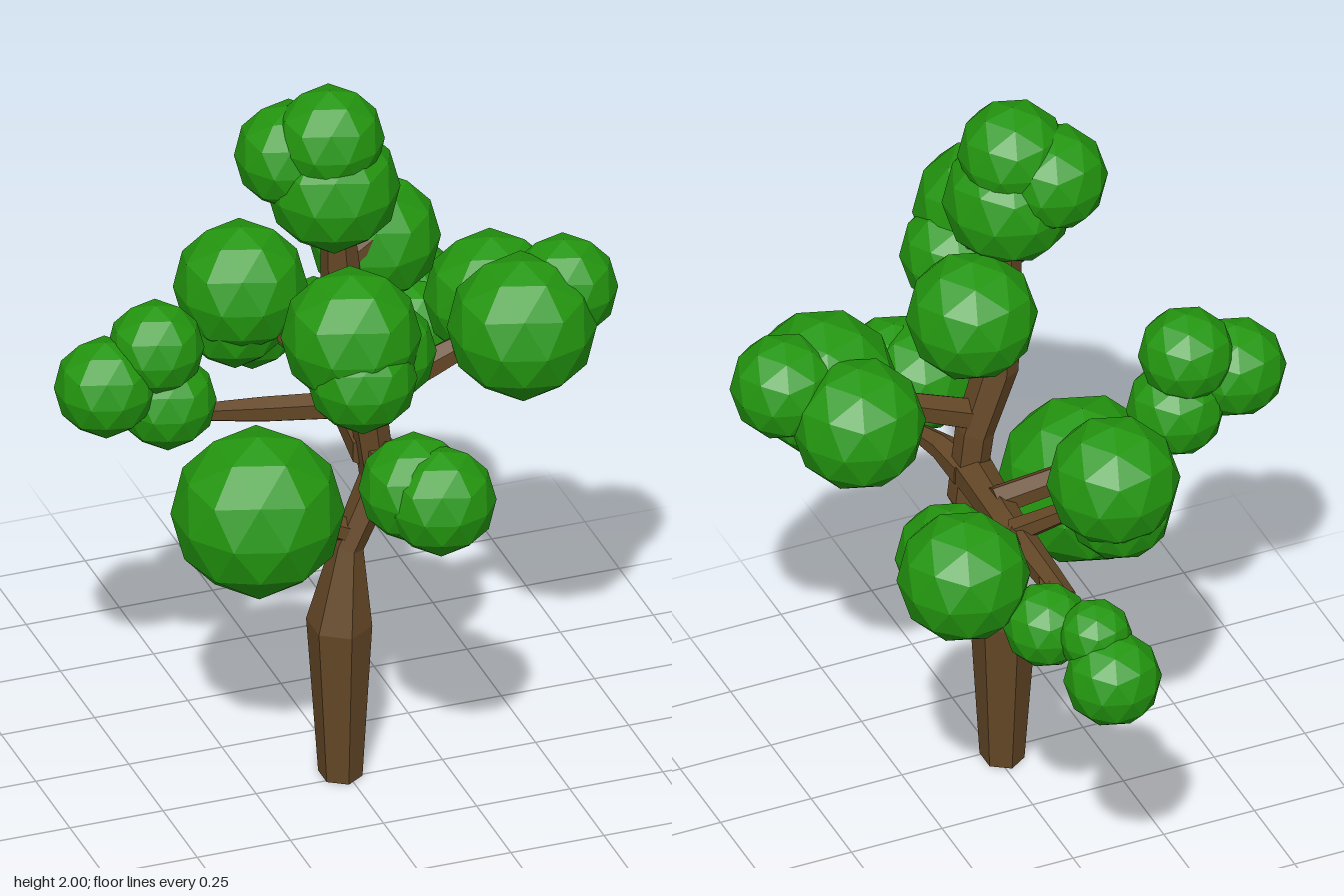
import * as THREE from 'three';

const bark = new THREE.MeshStandardMaterial({ color: 0x644726, flatShading: true });
bark.name = 'bark brown';
const leaf = new THREE.MeshStandardMaterial({ color: 0x23960f, flatShading: true });
leaf.name = 'leaf green';

const SIDES = 6;

// Closed six-sided limb lofted through rings given as [x, y, z, radius]
function limb(name, rings, ref, squash = 1) {
  const pts = rings.map(([x, y, z]) => new THREE.Vector3(x, y, z));
  const pos = [], index = [];
  const last = rings.length - 1;
  rings.forEach((ring, i) => {
    const t = pts[Math.min(i + 1, last)].clone().sub(pts[Math.max(i - 1, 0)]).normalize();
    if (name === 'trunk' && i < 2) t.set(0, 1, 0);
    const u = ref.clone().cross(t).normalize();
    const v = t.clone().cross(u);
    for (let j = 0; j < SIDES; j++) {
      const a = (j + 0.5) / SIDES * Math.PI * 2;
      const p = pts[i].clone()
        .addScaledVector(u, Math.cos(a) * ring[3] * squash)
        .addScaledVector(v, Math.sin(a) * ring[3]);
      pos.push(p.x, p.y, p.z);
    }
  });
  for (let i = 0; i < last; i++) {
    for (let j = 0; j < SIDES; j++) {
      const a = i * SIDES + j, b = i * SIDES + (j + 1) % SIDES;
      index.push(a, b, b + SIDES, a, b + SIDES, a + SIDES);
    }
  }
  // End caps
  const top = last * SIDES;
  for (let j = 1; j < SIDES - 1; j++) {
    index.push(0, j + 1, j, top, top + j, top + j + 1);
  }
  const geo = new THREE.BufferGeometry();
  geo.setAttribute('position', new THREE.Float32BufferAttribute(pos, 3));
  geo.setIndex(index);
  geo.computeVertexNormals();
  const mesh = new THREE.Mesh(geo, bark);
  mesh.name = name;
  return mesh;
}

// Leaf clumps, each a list of balls [x, y, z, radius]
const clumps = {
  crownLeaves: [[-0.05, 1.86, 0.24, 0.14], [-0.135, 1.8, 0.18, 0.14], [-0.04, 1.72, 0.24, 0.17]],
  upperFrontLeaves: [[-0.105, 1.465, 0.55, 0.178], [-0.1, 1.375, 0.615, 0.14], [-0.01, 1.38, 0.51, 0.14]],
  upperBackLeaves: [[0.115, 1.48, 0.12, 0.168]],
  leftLeaves: [[0.445, 1.25, 0.3, 0.19], [0.575, 1.31, 0.25, 0.138], [0.43, 1.24, 0.115, 0.172]],
  rightLeaves: [[-0.587, 1.15, 0.065, 0.13], [-0.45, 1.235, 0.06, 0.123], [-0.42, 1.075, 0.06, 0.126]],
  lowerRightLeaves: [[-0.235, 0.8, 0.22, 0.22]],
  backRightLeaves: [[-0.1, 1.165, -0.275, 0.17], [-0.115, 1.08, -0.28, 0.135]],
  backLeftLeaves: [[0.333, 1.025, -0.32, 0.17], [0.315, 1.0, -0.195, 0.14]],
  backTipLeaves: [[0.062, 0.838, -0.635, 0.125], [0.165, 0.915, -0.455, 0.11], [0.08, 0.93, -0.565, 0.095]],
  lowerFrontLeaves: [[0.11, 0.98, 0.615, 0.142], [0.065, 0.99, 0.55, 0.142]],
};

export function createModel() {
  const tree = new THREE.Group();
  tree.name = 'tree';
  const up = new THREE.Vector3(0, 1, 0);
  const front = new THREE.Vector3(0, 0, 1);

  // Trunk with a swollen base and a kink
  tree.add(limb('trunk', [
    [-0.015, 0, 0.225, 0.063], [-0.018, 0.44, 0.225, 0.094], [0.005, 0.66, 0.225, 0.046],
    [0.085, 0.84, 0.225, 0.053], [0.06, 1.04, 0.225, 0.055], [0.0, 1.22, 0.225, 0.062],
    [-0.015, 1.42, 0.235, 0.06], [-0.03, 1.65, 0.24, 0.045],
  ], front, 0.88));

  // Branches
  const branches = {
    backBranch: [[0.07, 0.92, 0.22, 0.055], [0.09, 0.935, -0.05, 0.045], [0.09, 0.94, -0.41, 0.03]],
    backLeftBranch: [[0.09, 0.935, -0.08, 0.035], [0.15, 0.95, -0.18, 0.035], [0.3, 1.0, -0.28, 0.022]],
    backTipBranch: [[0.09, 0.94, -0.3, 0.03], [0.15, 0.92, -0.45, 0.02]],
    backRightBranch: [[0.09, 0.95, -0.1, 0.035], [-0.08, 1.12, -0.27, 0.022]],
    rightBranch: [[0.09, 0.95, 0.035, 0.04], [-0.15, 0.98, 0.03, 0.036], [-0.4, 1.02, 0.035, 0.02]],
    frontBranch: [[0.08, 0.92, 0.22, 0.05], [0.1, 0.925, 0.33, 0.036], [0.135, 0.9, 0.5, 0.018]],
    leftBranch: [[0.03, 1.07, 0.23, 0.045], [0.22, 1.15, 0.235, 0.04], [0.43, 1.25, 0.26, 0.025]],
    upperFrontBranch: [[-0.01, 1.32, 0.24, 0.04], [-0.06, 1.42, 0.5, 0.025]],
    upperBackBranch: [[-0.01, 1.42, 0.23, 0.035], [0.1, 1.48, 0.13, 0.022]],
    upperTwig: [[-0.02, 1.48, 0.235, 0.03], [0.09, 1.56, 0.24, 0.018]],
    lowerRightBranch: [[0.01, 0.7, 0.225, 0.035], [-0.2, 0.8, 0.22, 0.02]],
  };
  for (const [name, rings] of Object.entries(branches)) tree.add(limb(name, rings, up));

  // Faceted leaf balls with a vertex pointing up
  const ball = new THREE.IcosahedronGeometry(1, 1);
  ball.rotateZ(-Math.atan(2 / (1 + Math.sqrt(5))));
  for (const [name, list] of Object.entries(clumps)) {
    const clump = new THREE.Group();
    clump.name = name;
    list.forEach(([x, y, z, r], i) => {
      const mesh = new THREE.Mesh(ball, leaf);
      mesh.name = `leafBall${i + 1}`;
      mesh.position.set(x, y, z);
      mesh.scale.setScalar(r);
      clump.add(mesh);
    });
    tree.add(clump);
  }
  return tree;
}
